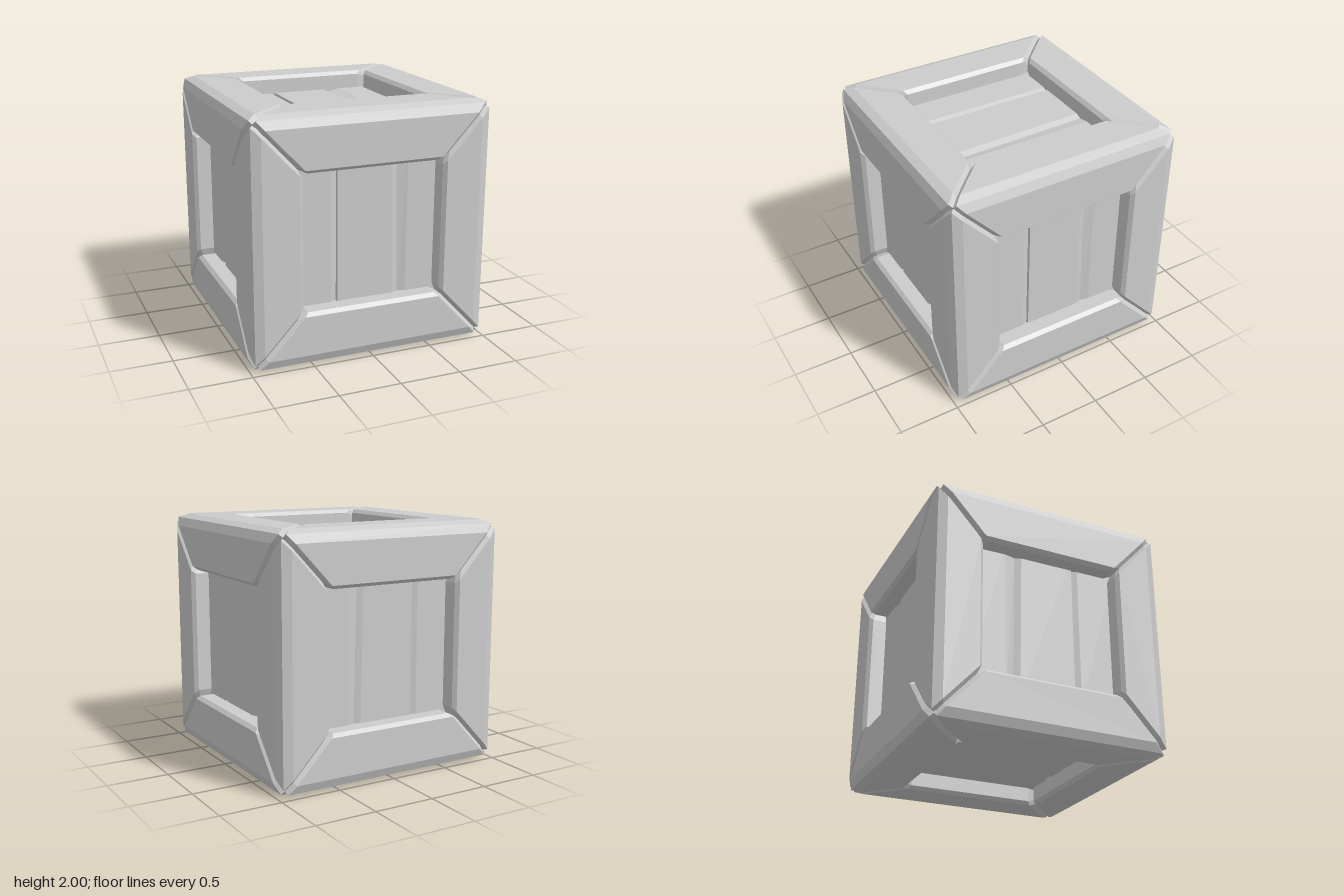
import * as THREE from 'three';

const grey = new THREE.MeshStandardMaterial({ color: 0xcccccc, flatShading: true });
grey.name = 'pale grey';

// half-size of the panel opening along x, y and z
const OPENING = [0.58, 0.55, 0.59];
const PULL = 0.04;       // how far a beam's surface stops short of the mitre
const CORE = 0.78;       // centre of the beam section
const SHRINK = 0.86;     // section scale at the beam's bevelled ends

function toGeometry(positions, index) {
  const indexed = new THREE.BufferGeometry();
  indexed.setAttribute('position', new THREE.Float32BufferAttribute(positions, 3));
  indexed.setIndex(index);
  const geometry = indexed.toNonIndexed();
  geometry.computeVertexNormals();
  return geometry;
}

// One edge beam along axis i, in the corner given by the signs on the other two axes
function beamGeometry(i, sj, sk) {
  const j = (i + 1) % 3, k = (i + 2) % 3;
  const wj = OPENING[j], wk = OPENING[k], wi = OPENING[i];
  const section = [
    [0.97, wk], [1, wk + 0.028], [1, 0.9], [0.97, 0.97], [0.9, 1],
    [wj + 0.028, 1], [wj, 0.97], [wj, 0.8], [0.8, wk],
  ];
  const mitre = (a, w) => wi + (Math.max(a, w) - w) * (1 - wi) / (1 - w);
  const reach = ([a, b]) => Math.min(mitre(a, wj), mitre(b, wk));
  const small = section.map(p => p.map(v => CORE + (v - CORE) * SHRINK));
  const positions = [], index = [], n = section.length;
  const put = (along, [a, b]) => {
    const p = [0, 0, 0];
    p[i] = along; p[j] = a * sj; p[k] = b * sk;
    positions.push(...p);
  };
  const flip = sj * sk < 0;
  const tri = (a, b, c) => index.push(...(flip ? [a, c, b] : [a, b, c]));

  // rings: bevelled end, surface, surface, bevelled end
  small.forEach(p => put(-reach(p), p));
  section.forEach(p => put(-reach(p) + PULL, p));
  section.forEach(p => put(reach(p) - PULL, p));
  small.forEach(p => put(reach(p), p));
  const core = [CORE, CORE];
  put(-reach(core), core);
  put(reach(core), core);

  for (let m = 0; m < n; m++) {
    const next = (m + 1) % n;
    for (let r = 0; r < 3; r++) {
      const a = r * n + m, b = r * n + next;
      tri(a, b, b + n);
      tri(a, b + n, a + n);
    }
    tri(4 * n, next, m);
    tri(4 * n + 1, 3 * n + m, 3 * n + next);
  }
  return toGeometry(positions, index);
}

// Three planks with one bevelled edge each; the second joint runs slightly askew
function planksGeometry(mirrored) {
  const high = 0.85, low = 0.83, half = 0.66;
  // [u at the top, u at the bottom, depth]
  let profile = [
    [-half, -half, high], [-0.305, -0.305, high], [-0.255, -0.255, low],
    [-0.25, -0.25, high], [0.2, 0.222, high], [0.25, 0.275, low],
    [0.34, 0.34, high], [half, half, high],
  ];
  if (mirrored) profile = profile.map(([t, b, d]) => [-t, -b, d]).reverse();
  const positions = [], index = [];
  profile.forEach(([t, b, d], m) => {
    positions.push(b, -half, d, t, half, d);
    if (m) {
      const q = 2 * m - 2;
      index.push(q, q + 2, q + 3, q, q + 3, q + 1);
    }
  });
  return toGeometry(positions, index);
}

export function createModel() {
  const crate = new THREE.Group();
  crate.name = 'crate';
  const add = (geometry, name) => {
    const mesh = new THREE.Mesh(geometry, grey);
    mesh.name = name;
    mesh.position.y = 1;
    crate.add(mesh);
    return mesh;
  };

  // twelve mitred edge beams
  ['crossBeam', 'uprightBeam', 'depthBeam'].forEach((name, axis) => {
    for (const sj of [-1, 1]) for (const sk of [-1, 1]) add(beamGeometry(axis, sj, sk), name);
  });

  // six recessed plank panels
  const quarter = Math.PI / 2;
  const faces = [
    ['frontPlanks', 0, 0, false], ['backPlanks', 0, Math.PI, true],
    ['leftPlanks', 0, quarter, false], ['rightPlanks', 0, -quarter, true],
    ['topPlanks', -quarter, 0, false], ['bottomPlanks', quarter, 0, false],
  ];
  for (const [name, rx, ry, mirrored] of faces) {
    add(planksGeometry(mirrored), name).rotation.set(rx, ry, 0);
  }
  return crate;
}
